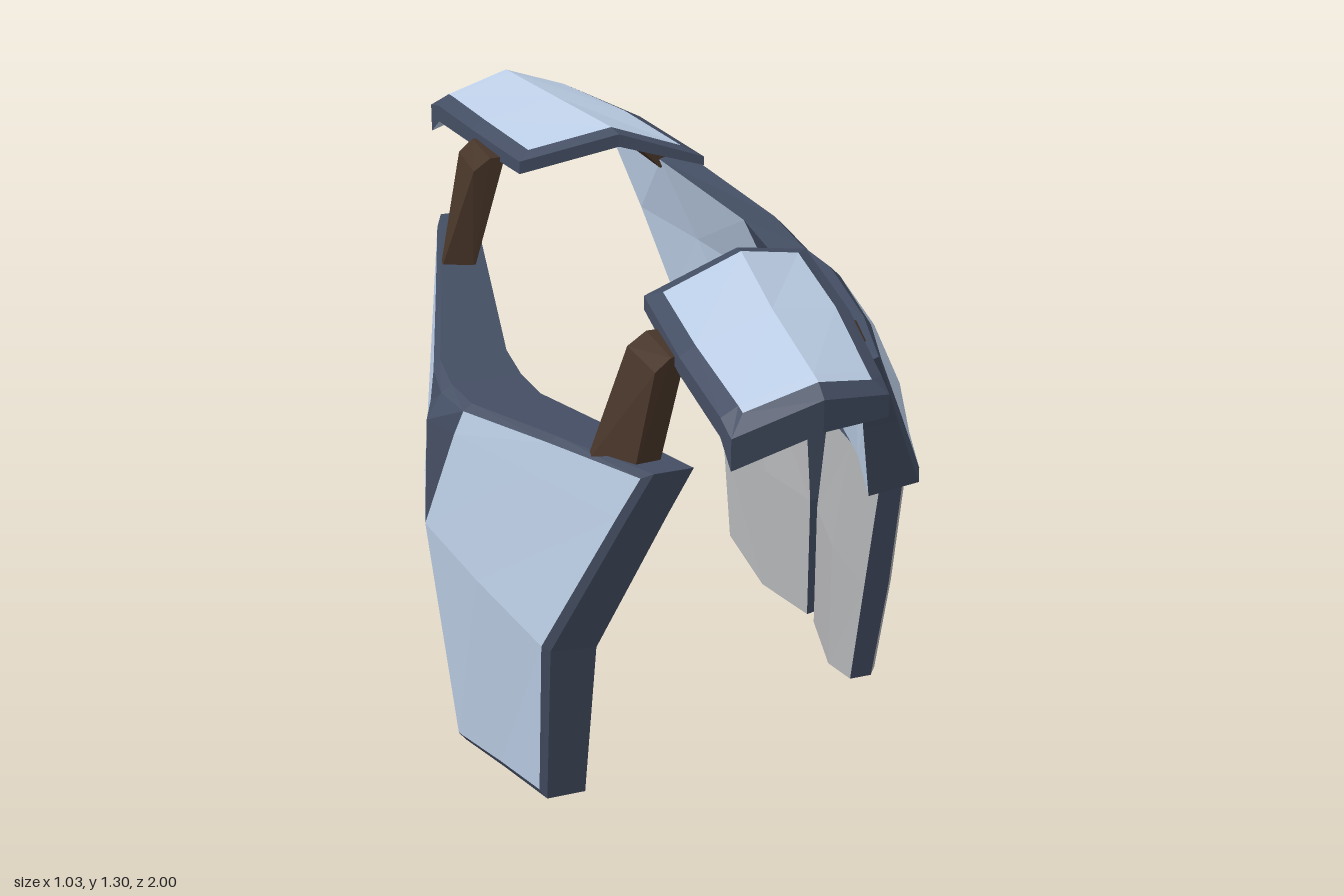
import * as THREE from 'three';
import { ConvexGeometry } from 'three/addons/geometries/ConvexGeometry.js';

const mat = (name, color) => {
  const m = new THREE.MeshStandardMaterial({ color, flatShading: true });
  m.name = name;
  return m;
};
const V = (a) => new THREE.Vector3(...a);
const mirrorZ = ([x, y, z]) => [x, y, -z];
// Mirror a half row (outer end first, centre last) into a full row
const fullRow = (row) => [...row, ...row.slice(0, -1).reverse().map(mirrorZ)];

// Armour plate: a bevelled outer panel, an inner panel and a rim, from two grids of points.
// colorOf(column) and bevel give material slots.
function plate(name, outerPts, innerPts, materials, { inset = 0.03, drop = 0.12, bevel = 1, colorOf = () => 0 } = {}) {
  const outer = outerPts.map((r) => r.map(V));
  const inner = innerPts.map((r) => r.map(V));
  const R = outer.length, C = outer[0].length;
  const rim = outer.map((r, i) => r.map((p, j) => p.clone().lerp(inner[i][j], drop)));
  // Panel: border points pulled towards their neighbours
  const pull = (p, q) => {
    const d = q.clone().sub(p);
    return d.setLength(Math.min(inset, d.length() * 0.7));
  };
  const panel = outer.map((r, i) => r.map((p, j) => {
    const out = p.clone();
    if (i === 0) out.add(pull(p, outer[1][j]));
    if (i === R - 1) out.add(pull(p, outer[R - 2][j]));
    if (j === 0) out.add(pull(p, r[1]));
    if (j === C - 1) out.add(pull(p, r[C - 2]));
    return out;
  }));
  // Choose the winding so that the outer panel faces away from the inner one
  const n = outer[1][0].clone().sub(outer[0][0]).cross(outer[0][1].clone().sub(outer[0][0]));
  const flip = n.dot(outer[0][0].clone().sub(inner[0][0])) + n.dot(outer[1][1].clone().sub(inner[1][1])) < 0;

  const tris = materials.map(() => []);
  const tri = (slot, a, b, c) => {
    const area = b.clone().sub(a).cross(c.clone().sub(a)).length();
    if (area < 1e-7) return;
    for (const p of flip ? [a, c, b] : [a, b, c]) tris[slot].push(p.x, p.y, p.z);
  };
  const quad = (slot, a, b, c, d) => { tri(slot, a, b, c); tri(slot, a, c, d); };

  for (let i = 0; i < R - 1; i++) {
    for (let j = 0; j < C - 1; j++) {
      const s = colorOf(j);
      quad(s, panel[i][j], panel[i + 1][j], panel[i + 1][j + 1], panel[i][j + 1]);
      quad(s, inner[i][j], inner[i][j + 1], inner[i + 1][j + 1], inner[i + 1][j]);
    }
  }
  // Border loop for bevel and rim
  const loop = [];
  for (let i = 0; i < R - 1; i++) loop.push([i, 0]);
  for (let j = 0; j < C - 1; j++) loop.push([R - 1, j]);
  for (let i = R - 1; i > 0; i--) loop.push([i, C - 1]);
  for (let j = C - 1; j > 0; j--) loop.push([0, j]);
  loop.forEach(([i, j], k) => {
    const [u, v] = loop[(k + 1) % loop.length];
    quad(bevel, rim[i][j], rim[u][v], panel[u][v], panel[i][j]);
    quad(1, inner[i][j], inner[u][v], rim[u][v], rim[i][j]);
  });

  const geo = new THREE.BufferGeometry();
  geo.setAttribute('position', new THREE.Float32BufferAttribute(tris.flat(), 3));
  let start = 0;
  tris.forEach((t, slot) => {
    geo.addGroup(start, t.length / 3, slot);
    start += t.length / 3;
  });
  geo.computeVertexNormals();
  const mesh = new THREE.Mesh(geo, materials);
  mesh.name = name;
  return mesh;
}

// Strap: a tapered block given by its corners
function strap(name, corners, material) {
  const mesh = new THREE.Mesh(new ConvexGeometry(corners.map(V)), material);
  mesh.name = name;
  return mesh;
}

export function createModel() {
  const light = mat('paleBlueArmor', 0xbccee6);
  const dark = mat('darkNavyTrim', 0x444e63);
  const grey = mat('greyArmor', 0xb3b4b6);
  const brown = mat('brownStrap', 0x463428);
  const root = new THREE.Group();
  root.name = 'torsoArmor';
  const centreDark = (j) => (j === 2 || j === 3 ? 1 : 0);

  // Chest plate with a dark centre band
  const chest = plate('chestPlate', [
    [[0.2, 1.2, 0.765], [0.285, 1.17, 0.51], [0.365, 1.13, 0.16], [0.365, 1.12, 0]],
    [[0.3, 1.0, 0.665], [0.39, 0.98, 0.46], [0.475, 0.97, 0.14], [0.475, 0.97, 0]],
    [[0.395, 0.81, 0.585], [0.475, 0.785, 0.35], [0.518, 0.765, 0.125], [0.518, 0.765, 0]],
  ].map(fullRow), [
    [[0.165, 1.185, 0.76], [0.215, 1.16, 0.51], [0.285, 1.13, 0.16], [0.285, 1.115, 0]],
    [[0.22, 0.99, 0.655], [0.29, 0.97, 0.46], [0.36, 0.96, 0.14], [0.36, 0.96, 0]],
    [[0.275, 0.79, 0.575], [0.35, 0.77, 0.35], [0.4, 0.75, 0.125], [0.4, 0.745, 0]],
  ].map(fullRow), [light, dark], { drop: 0.09, colorOf: centreDark });

  // Back plate: flat upper and lower facets and a raised dark wedge at the top centre
  const back = plate('backPlate', [
    [[-0.26, 1.0, 0.735], [-0.357, 0.955, 0.42], [-0.45, 0.91, 0.12], [-0.46, 0.905, 0]],
    [[-0.293, 0.87, 0.665], [-0.384, 0.85, 0.365], [-0.47, 0.83, 0.09], [-0.505, 0.83, 0]],
    [[-0.39, 0.48, 0.46], [-0.462, 0.53, 0.2], [-0.517, 0.58, 0], [-0.517, 0.58, 0]],
    [[-0.37, 0.05, 0.36], [-0.41, 0.03, 0.18], [-0.455, 0.01, 0], [-0.455, 0.01, 0]],
  ].map(fullRow), [
    [[-0.17, 1.0, 0.735], [-0.229, 0.955, 0.42], [-0.285, 0.91, 0.12], [-0.29, 0.905, 0]],
    [[-0.197, 0.87, 0.665], [-0.251, 0.85, 0.365], [-0.3, 0.83, 0.09], [-0.305, 0.83, 0]],
    [[-0.28, 0.47, 0.46], [-0.318, 0.525, 0.2], [-0.346, 0.57, 0], [-0.346, 0.57, 0]],
    [[-0.275, 0.05, 0.36], [-0.285, 0.025, 0.18], [-0.29, 0, 0], [-0.29, 0, 0]],
  ].map(fullRow), [light, dark], { inset: 0.02, drop: 0.08, colorOf: centreDark });
  back.position.z = -0.013;
  root.add(chest, back);

  // Belly plates: bulging front, flatter back, inner edge slanting open towards the front
  const belly = [
    [[0.405, 0.785, 0.485], [0.47, 0.765, 0.28], [0.5, 0.725, 0.085]],
    [[0.412, 0.48, 0.42], [0.475, 0.47, 0.2], [0.5, 0.47, 0.04]],
    [[0.403, 0.22, 0.365], [0.46, 0.165, 0.2], [0.482, 0.17, 0.04]],
  ];
  const bellyBackX = [0.345, 0.365, 0.405];
  const bellyInner = belly.map((r) => r.map(([, y, z], j) => [bellyBackX[j], y, j === 2 ? z - 0.02 : z]));

  // Shoulder pads: thin, with a deep lip at the outer end
  const pad = [
    [[-0.2, 1.205, 0.99], [-0.02, 1.26, 1.0], [0.14, 1.215, 0.94]],
    [[-0.198, 1.215, 0.93], [-0.015, 1.268, 0.935], [0.15, 1.222, 0.88]],
    [[-0.19, 1.235, 0.69], [0.01, 1.289, 0.67], [0.2, 1.242, 0.61]],
    [[-0.16, 1.245, 0.41], [0.06, 1.3, 0.36], [0.24, 1.245, 0.295]],
  ];
  const padDepth = [0.083, 0.05, 0.045, 0.037];
  const padInner = pad.map((r, i) => r.map(([x, y, z], j) => [x, y - padDepth[i] * (j === 2 ? 0.7 : 1), z]));

  // Straps from the pads down to the back and chest plates
  const backStrap = [
    [-0.325, 0.94, 0.52], [-0.27, 0.96, 0.65], [-0.25, 0.94, 0.5], [-0.215, 0.97, 0.645],
    [-0.235, 1.185, 0.52], [-0.228, 1.185, 0.66], [-0.195, 1.212, 0.52], [-0.195, 1.212, 0.66],
    [-0.16, 1.212, 0.52], [-0.16, 1.212, 0.65],
  ];
  const frontStrap = [
    [0.262, 1.165, 0.525], [0.225, 1.18, 0.66], [0.215, 1.14, 0.51], [0.185, 1.155, 0.65],
    [0.15, 1.225, 0.52], [0.15, 1.225, 0.65], [0.16, 1.2, 0.52], [0.16, 1.2, 0.65],
  ];

  for (const side of [1, -1]) {
    const label = side > 0 ? 'left' : 'right';
    const onSide = (row) => (side > 0 ? row : row.map(mirrorZ));
    root.add(
      plate(label + 'BellyPlate', belly.map(onSide), bellyInner.map(onSide), [grey, dark],
        { inset: 0.018, drop: 0.13, bevel: 0 }),
      plate(label + 'ShoulderPad', pad.map(onSide), padInner.map(onSide), [light, dark],
        { inset: 0.036, drop: 0.2 }),
      strap(label + 'BackStrap', onSide(backStrap), brown),
      strap(label + 'FrontStrap', onSide(frontStrap), brown),
    );
  }
  return root;
}
